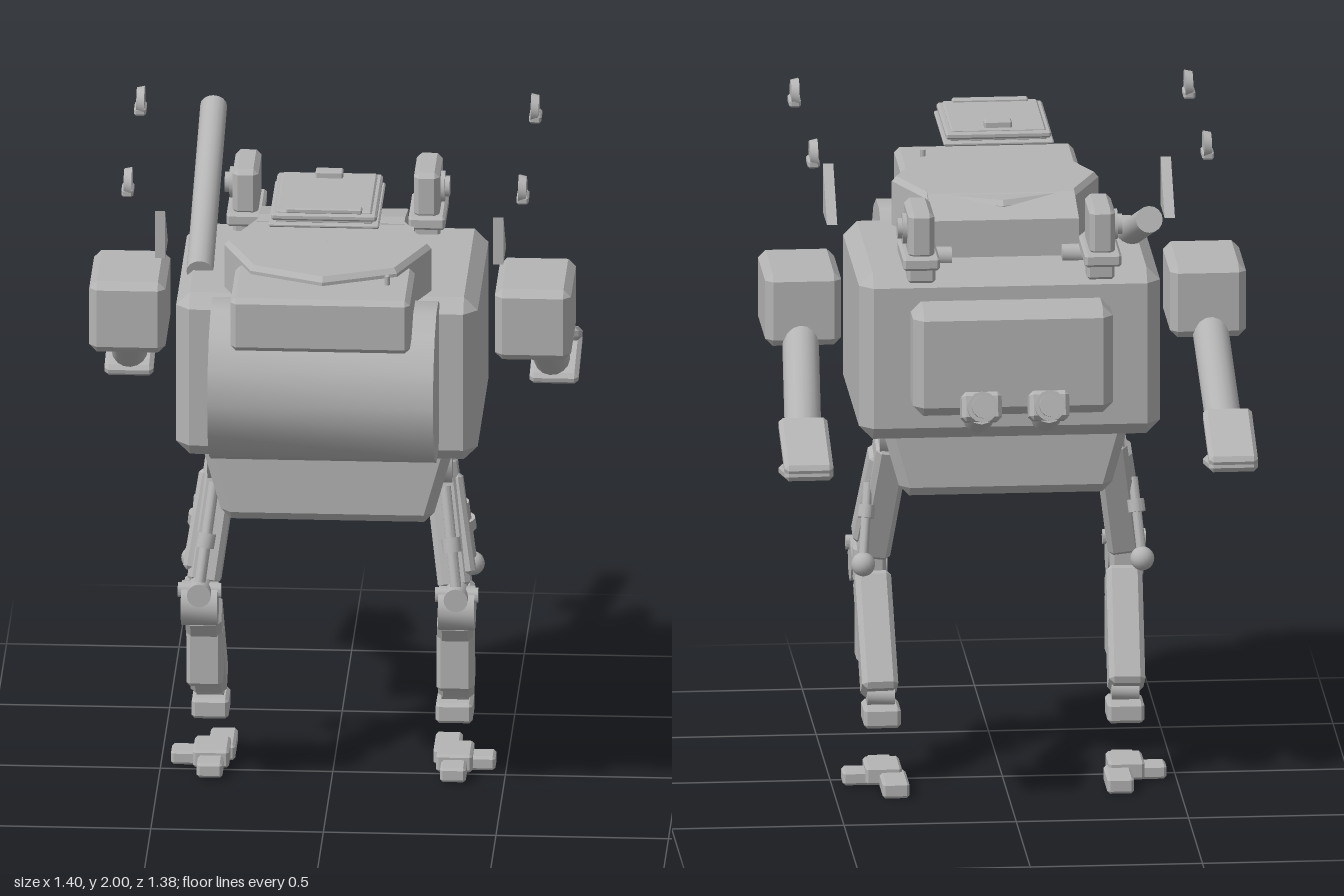
import * as THREE from 'three';
import { toCreasedNormals } from 'three/addons/utils/BufferGeometryUtils.js';
import { ConvexGeometry } from 'three/addons/geometries/ConvexGeometry.js';

const metal = new THREE.MeshStandardMaterial({ color: 0xb4b4b4 });
metal.name = 'grey metal';

const V = (x, y, z) => new THREE.Vector3(x, y, z);

function add(parent, name, geometry, position = V(0, 0, 0)) {
  const mesh = new THREE.Mesh(geometry, metal);
  mesh.name = name;
  mesh.position.copy(position);
  parent.add(mesh);
  return mesh;
}

// Box with every edge chamfered by c; the bottom can be narrower in x
function chamferBox(w, h, d, c, bottom = 1) {
  const pts = [];
  for (const x of [-1, 1]) for (const y of [-1, 1]) for (const z of [-1, 1]) {
    const k = y < 0 ? bottom : 1;
    const a = w * k / 2, b = h / 2, e = d / 2;
    pts.push(V(x * a, y * (b - c), z * (e - c)), V(x * (a - c), y * b, z * (e - c)), V(x * (a - c), y * (b - c), z * e));
  }
  return new ConvexGeometry(pts);
}

// Chamfered box given by its limits on each axis
function block(parent, name, [x0, x1], [y0, y1], [z0, z1], c = 0.01, bottom = 1) {
  return add(parent, name, chamferBox(Math.abs(x1 - x0), y1 - y0, z1 - z0, c, bottom),
    V((x0 + x1) / 2, (y0 + y1) / 2, (z0 + z1) / 2));
}

// Round bar between two points
function rod(parent, name, a, b, r0, r1 = r0, sides = 16) {
  const dir = b.clone().sub(a);
  const geo = toCreasedNormals(new THREE.CylinderGeometry(r1, r0, dir.length(), sides), 0.7);
  const mesh = add(parent, name, geo, a.clone().add(b).multiplyScalar(0.5));
  mesh.quaternion.setFromUnitVectors(V(0, 1, 0), dir.normalize());
  return mesh;
}

// Chamfered beam between two points, its width kept along x
function beam(parent, name, a, b, w, d, c = 0.012) {
  const dir = b.clone().sub(a);
  const mesh = add(parent, name, chamferBox(w, dir.length(), d, c), a.clone().add(b).multiplyScalar(0.5));
  const y = dir.normalize();
  const z = V(1, 0, 0).cross(y).normalize();
  mesh.quaternion.setFromRotationMatrix(new THREE.Matrix4().makeBasis(y.clone().cross(z), y, z));
  return mesh;
}

function group(parent, name) {
  const g = new THREE.Group();
  g.name = name;
  parent.add(g);
  return g;
}

function buildBody(root) {
  const body = group(root, 'body');
  block(body, 'hull', [-0.437, 0.437], [1.09, 1.59], [-0.295, 0.35], 0.04);
  block(body, 'backpack', [-0.29, 0.29], [1.19, 1.51], [-0.41, -0.25], 0.03);
  block(body, 'pelvis', [-0.36, 0.36], [0.88, 1.12], [-0.145, 0.305], 0.03, 0.86);
  rod(body, 'frontDrum', V(-0.327, 1.375, 0.44), V(0.327, 1.375, 0.44), 0.236, 0.236, 14);
  rod(body, 'cannon', V(-0.378, 1.585, 0.13), V(-0.378, 1.825, -0.6), 0.039);
  for (const s of [-1, 1]) {
    // Vents on the back
    const x = s * 0.098;
    rod(body, 'ventNeck', V(x, 1.17, -0.34), V(x, 1.225, -0.45), 0.045, 0.045, 12);
    beam(body, 'ventBox', V(x, 1.215, -0.4), V(x, 1.245, -0.49), 0.116, 0.085);
    rod(body, 'ventRing', V(x, 1.24, -0.48), V(x, 1.248, -0.51), 0.045, 0.045, 12);
    rod(body, 'ventNozzle', V(x, 1.24, -0.48), V(x, 1.255, -0.533), 0.033, 0.033, 12);
  }
}

function buildHead(root) {
  const head = group(root, 'head');
  // Eight sided turret with a narrow bevel on its rim
  const turret = [[0.001, 1.59], [0.3, 1.59], [0.3, 1.72], [0.287, 1.735], [0.001, 1.735]]
    .map(([r, y]) => new THREE.Vector2(r, y));
  add(head, 'turret', toCreasedNormals(new THREE.LatheGeometry(turret, 8), 0.3), V(0, 0, 0.262));
  block(head, 'snout', [-0.26, 0.26], [1.547, 1.71], [0.39, 0.685], 0.015);
  add(head, 'rivet', new THREE.CylinderGeometry(0.008, 0.008, 0.03, 8), V(0.187, 1.722, 0.54));
  // Rear housing with a roof falling backwards
  const rear = [];
  for (const x of [-0.213, 0.213]) {
    for (const [y, z] of [[1.57, 0.11], [1.737, 0.11], [1.737, 0.05], [1.7, -0.115], [1.57, -0.115]]) rear.push(V(x, y, z));
  }
  add(head, 'rearHousing', new ConvexGeometry(rear));
  // Raised hatch
  const hatch = group(head, 'hatch');
  block(hatch, 'hatchBase', [-0.16, 0.16], [1.858, 1.87], [0.122, 0.48], 0.004);
  block(hatch, 'hatchCore', [-0.14, 0.14], [1.868, 1.882], [0.14, 0.465], 0.003);
  block(hatch, 'hatchLid', [-0.153, 0.153], [1.876, 1.897], [0.127, 0.472], 0.006);
  block(hatch, 'hatchPanel', [-0.138, 0.138], [1.89, 1.904], [0.14, 0.46], 0.005);
  block(hatch, 'hatchHinge', [-0.11, 0.11], [1.895, 1.912], [0.437, 0.465], 0.004);
  block(hatch, 'hatchHandle', [-0.04, 0.04], [1.895, 1.923], [0.15, 0.19], 0.004);
}

function buildSide(root, s) {
  const side = group(root, s > 0 ? 'leftSide' : 'rightSide');
  const P = (x, y, z) => V(s * x, y, z);

  // Sensor pod on the rear of the hull
  block(side, 'podBase', [s * 0.21, s * 0.317], [1.62, 1.66], [-0.37, -0.15], 0.008);
  block(side, 'podBody', [s * 0.225, s * 0.3], [1.65, 1.79], [-0.355, -0.163], 0.015);
  rod(side, 'podLensRing', P(0.28, 1.72, -0.256), P(0.312, 1.72, -0.256), 0.045);
  rod(side, 'podLens', P(0.28, 1.72, -0.256), P(0.326, 1.72, -0.256), 0.03);
  block(side, 'podBracket', [s * 0.22, s * 0.3], [1.57, 1.64], [-0.32, -0.2], 0.008);
  rod(side, 'podKnob', P(0.16, 1.605, -0.15), P(0.228, 1.605, -0.15), 0.028);

  // Triangular fin and hovering lamps
  const tri = new THREE.Shape([[-0.195, 1.65], [-0.05, 1.65], [-0.195, 1.795]].map(([x, y]) => new THREE.Vector2(x, y)));
  const fin = new THREE.ExtrudeGeometry(tri, { depth: 0.03, bevelEnabled: false }).rotateY(Math.PI / 2);
  add(side, 'fin', fin, V(s > 0 ? 0.475 : -0.505, 0, 0));
  for (const z of [0.39, -0.28]) {
    rod(side, 'lampDisc', P(0.56, 1.957, z), P(0.583, 1.957, z), 0.043, 0.038);
    block(side, 'lampBase', [s * 0.555, s * 0.59], [1.92, 1.945], [z - 0.035, z + 0.035], 0.006);
  }

  // Arm
  const arm = group(side, 'arm');
  block(arm, 'shoulder', [s * 0.477, s * 0.698], [1.337, 1.555], [-0.137, 0.163], 0.022);
  rod(arm, 'forearm', P(0.59, 1.42, -0.02), P(0.612, 1.135, -0.42), 0.053);
  beam(arm, 'upperClaw', P(0.616, 1.2, -0.445), P(0.616, 1.11, -0.69), 0.142, 0.04);
  beam(arm, 'lowerClaw', P(0.616, 1.055, -0.445), P(0.616, 1.105, -0.69), 0.142, 0.036);

  // Upper leg
  const leg = group(side, 'leg');
  rod(leg, 'hip', P(0.27, 1.03, 0.087), P(0.355, 1.03, 0.087), 0.095, 0.095, 14);
  beam(leg, 'thigh', P(0.315, 1.0, 0.06), P(0.365, 0.64, 0.17), 0.095, 0.125, 0.015);
  beam(leg, 'thighPlate', P(0.35, 0.96, 0.085), P(0.395, 0.68, 0.175), 0.06, 0.085);
  rod(leg, 'frontPiston', P(0.335, 0.95, 0.165), P(0.375, 0.64, 0.27), 0.016);
  rod(leg, 'frontPistonCollar', P(0.353, 0.81, 0.215), P(0.359, 0.77, 0.229), 0.027);
  rod(leg, 'rearPiston', P(0.385, 0.87, 0.07), P(0.405, 0.65, -0.01), 0.014);
  rod(leg, 'rearPistonCollar', P(0.39, 0.81, 0.046), P(0.394, 0.775, 0.034), 0.025);
  add(leg, 'pistonBall', new THREE.SphereGeometry(0.035, 16, 12), P(0.405, 0.648, -0.012));

  // Knee
  rod(leg, 'knee', P(0.32, 0.6, 0.23), P(0.425, 0.6, 0.23), 0.065);
  block(leg, 'kneeBlock', [s * 0.325, s * 0.42], [0.545, 0.66], [0.14, 0.245], 0.012);
  rod(leg, 'kneeCap', P(0.372, 0.645, 0.2), P(0.372, 0.645, 0.295), 0.035);
  rod(leg, 'kneeBolt', P(0.31, 0.645, 0.245), P(0.435, 0.645, 0.245), 0.022);

  // Lower leg
  beam(leg, 'shin', P(0.365, 0.565, 0.175), P(0.358, 0.265, -0.025), 0.105, 0.11, 0.015);
  block(leg, 'shinGuard', [s * 0.31, s * 0.415], [0.32, 0.5], [0.092, 0.183], 0.012);
  rod(leg, 'ankle', P(0.315, 0.255, -0.015), P(0.395, 0.255, -0.015), 0.03);
  block(leg, 'ankleBlock', [s * 0.3, s * 0.407], [0.17, 0.232], [-0.077, 0.045], 0.01);

  // Foot with toes forwards, outwards and backwards
  const foot = group(side, 'foot');
  block(foot, 'footPlate', [s * 0.3, s * 0.405], [0.01, 0.065], [-0.11, 0.02], 0.008);
  block(foot, 'frontToe', [s * 0.315, s * 0.39], [0.005, 0.05], [-0.02, 0.09], 0.008);
  block(foot, 'outerToe', [s * 0.37, s * 0.47], [0.005, 0.048], [-0.09, -0.015], 0.008);
  block(foot, 'rearToe', [s * 0.287, s * 0.365], [0, 0.048], [-0.225, -0.07], 0.008);
}

export function createModel() {
  const root = new THREE.Group();
  root.name = 'walkerRobot';
  buildBody(root);
  buildHead(root);
  for (const s of [-1, 1]) buildSide(root, s);
  return root;
}
